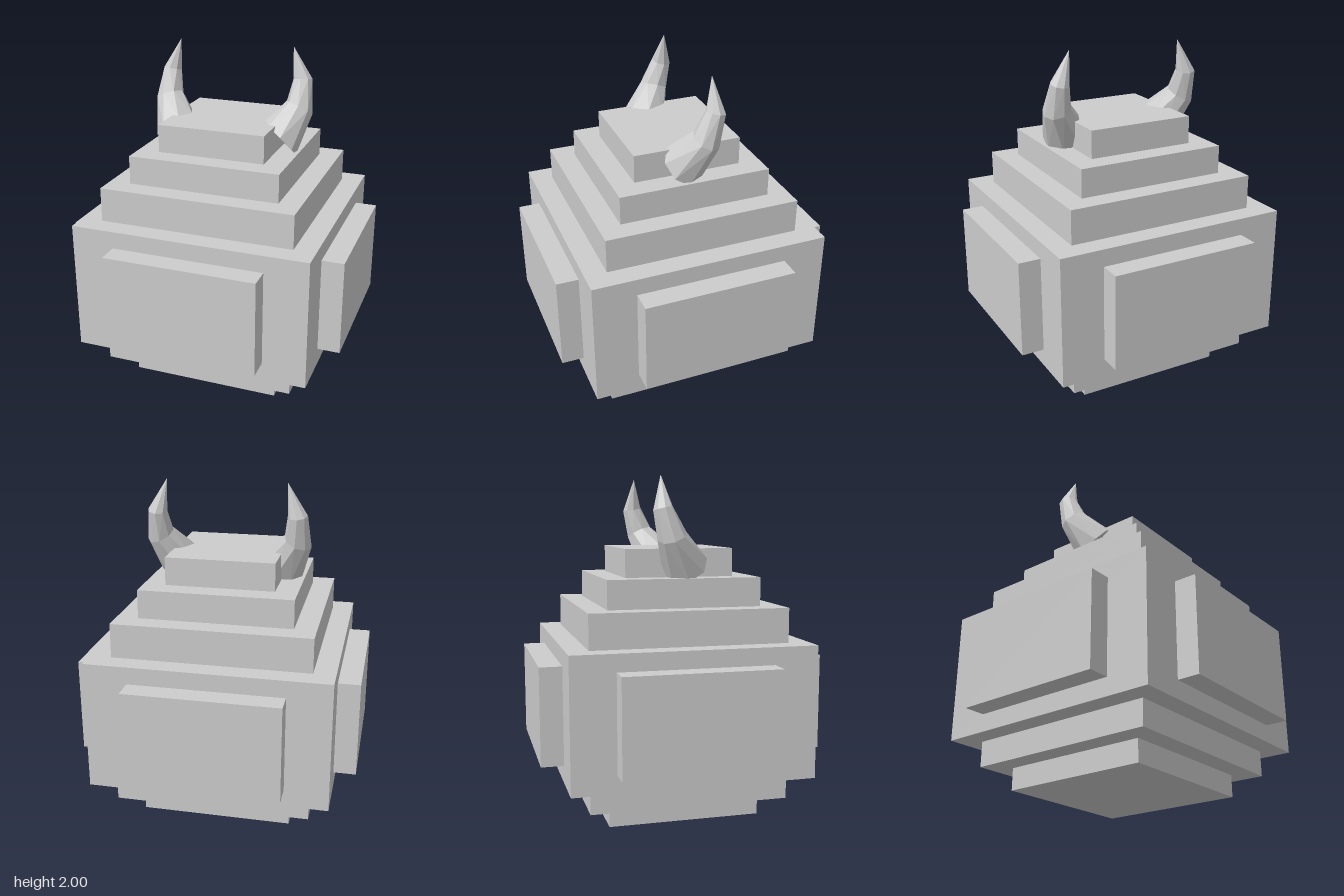
import * as THREE from 'three';

const stone = new THREE.MeshStandardMaterial({ color: 0xcccccc });
stone.name = 'stone grey';
const hornMaterial = stone;

function box(name, w, h, d, x, y, z) {
  const mesh = new THREE.Mesh(new THREE.BoxGeometry(w, h, d), stone);
  mesh.name = name;
  mesh.position.set(x, y, z);
  return mesh;
}

// Horn cross-sections, base to tip: centre, facing direction, radius
const SIDES = 8;
const RINGS = [
  { c: [0.325, 1.49, 0.03], n: [0.6, 0.66, -0.4], r: 0.135 },
  { c: [0.412, 1.66, -0.07], n: [0.36, 0.87, -0.34], r: 0.085 },
  { c: [0.412, 1.815, -0.122], n: [-0.08, 0.95, -0.2], r: 0.058 },
  { c: [0.352, 2.0, -0.12], n: [-0.3, 0.95, 0], r: 0.001 },
];

function hornGeometry(side) {
  const points = [];
  for (const { c, n, r } of RINGS) {
    const centre = new THREE.Vector3(...c);
    const axis = new THREE.Vector3(...n).normalize();
    const u = new THREE.Vector3(0, 0, 1).projectOnPlane(axis).normalize();
    const v = new THREE.Vector3().crossVectors(axis, u);
    for (let i = 0; i < SIDES; i++) {
      const a = (i / SIDES) * Math.PI * 2;
      const p = centre.clone().addScaledVector(u, r * Math.cos(a)).addScaledVector(v, r * Math.sin(a));
      points.push(new THREE.Vector3(p.x * side, p.y, p.z));
    }
  }
  const positions = [];
  const tri = (a, b, c) => {
    const order = side > 0 ? [a, b, c] : [a, c, b];
    for (const k of order) positions.push(...points[k].toArray());
  };
  for (let ring = 0; ring < RINGS.length - 1; ring++) {
    for (let i = 0; i < SIDES; i++) {
      const j = (i + 1) % SIDES;
      const a = ring * SIDES + i, b = ring * SIDES + j;
      tri(a, b, b + SIDES);
      tri(a, b + SIDES, a + SIDES);
    }
  }
  // Closed base
  for (let i = 1; i < SIDES - 1; i++) tri(0, i + 1, i);
  const geometry = new THREE.BufferGeometry();
  geometry.setAttribute('position', new THREE.Float32BufferAttribute(positions, 3));
  geometry.computeVertexNormals(); // separate triangles, so facets stay flat
  return geometry;
}

export function createModel() {
  const model = new THREE.Group();
  model.name = 'hornedBlockEgg';

  // Stacked square tiers: name, bottom, top, half width
  const tiers = [
    ['foot', 0, 0.13, 0.45],
    ['lowerTier', 0.13, 0.28, 0.58],
    ['body', 0.28, 1.053, 0.705],
    ['upperTier', 1.053, 1.255, 0.578],
    ['shoulderTier', 1.255, 1.423, 0.45],
    ['crown', 1.423, 1.587, 0.32],
  ];
  for (const [name, y0, y1, half] of tiers) {
    model.add(box(name, half * 2, y1 - y0, half * 2, 0, (y0 + y1) / 2, 0));
  }

  // Raised panel on each of the four sides
  const depth = 0.13, offset = 0.705 + depth / 2, height = 0.567, midY = 0.668;
  for (const s of [1, -1]) {
    model.add(box(s > 0 ? 'frontPanel' : 'backPanel', 0.9, height, depth, 0, midY, s * offset));
    model.add(box(s > 0 ? 'leftPanel' : 'rightPanel', depth, height, 0.9, s * offset, midY, 0));
  }

  // Curved faceted horns
  for (const s of [1, -1]) {
    const horn = new THREE.Mesh(hornGeometry(s), hornMaterial);
    horn.name = s > 0 ? 'leftHorn' : 'rightHorn';
    model.add(horn);
  }
  return model;
}
